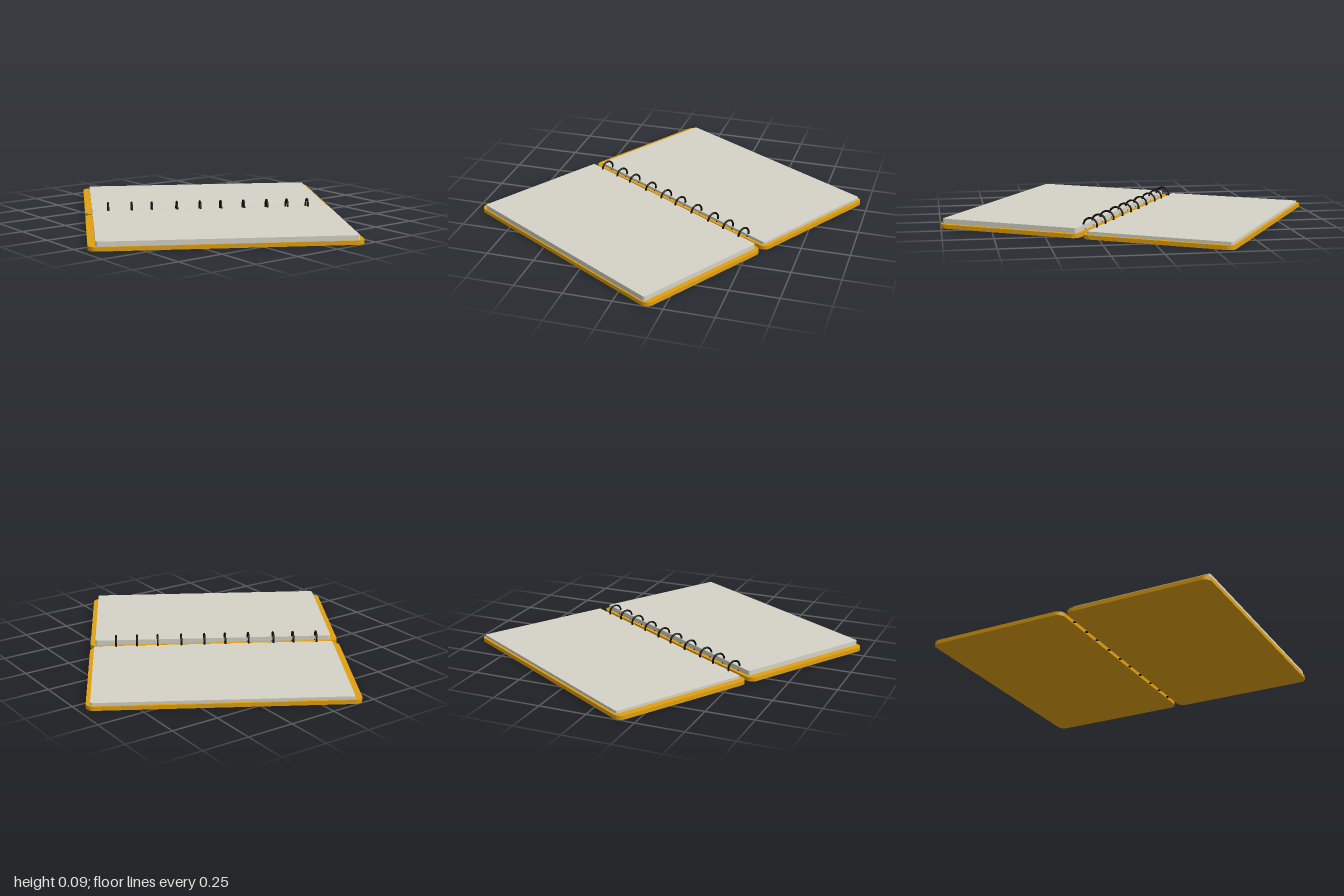
import * as THREE from 'three';

// Flat slab with rounded corners, spanning x0..x1, z0..z1 and y0..y1
function slab(name, material, x0, x1, z0, z1, y0, y1, r) {
  const s = new THREE.Shape();
  s.moveTo(x0 + r, z0);
  s.absarc(x1 - r, z0 + r, r, -Math.PI / 2, 0);
  s.absarc(x1 - r, z1 - r, r, 0, Math.PI / 2);
  s.absarc(x0 + r, z1 - r, r, Math.PI / 2, Math.PI);
  s.absarc(x0 + r, z0 + r, r, Math.PI, Math.PI * 1.5);
  const geometry = new THREE.ExtrudeGeometry(s, { depth: y1 - y0, bevelEnabled: false, curveSegments: 6 });
  geometry.rotateX(Math.PI / 2).translate(0, y1, 0);
  const mesh = new THREE.Mesh(geometry, material);
  mesh.name = name;
  return mesh;
}

export function createModel() {
  const model = new THREE.Group();
  model.name = 'openNotebook';

  const gold = new THREE.MeshStandardMaterial({ color: 0xe0a010 });
  const paper = new THREE.MeshStandardMaterial({ color: 0xd6d3c6 });
  const black = new THREE.MeshStandardMaterial({ color: 0x0a0a0a });

  // The notebook lies turned on the table; its spine runs along local x
  const book = new THREE.Group();
  book.name = 'notebook';
  book.rotation.y = THREE.MathUtils.degToRad(-30.7);
  model.add(book);

  // Covers on either side of the spine
  book.add(slab('frontCover', gold, -0.667, 0.667, 0.01, 0.783, 0, 0.021, 0.04));
  book.add(slab('backCover', gold, -0.667, 0.667, -0.783, -0.01, 0, 0.021, 0.04));

  // Page stacks, the front one thicker
  book.add(slab('frontPages', paper, -0.63, 0.64, 0.028, 0.775, 0.021, 0.046, 0.012));
  book.add(slab('backPages', paper, -0.63, 0.645, -0.77, -0.028, 0.021, 0.035, 0.012));

  // Binding rings, slightly unevenly spaced along the spine
  const ringGeometry = new THREE.TorusGeometry(0.037, 0.005, 8, 28).rotateY(Math.PI / 2);
  const rings = new THREE.Group();
  rings.name = 'bindingRings';
  for (const x of [-0.545, -0.42, -0.313, -0.179, -0.054, 0.057, 0.181, 0.307, 0.417, 0.528]) {
    const ring = new THREE.Mesh(ringGeometry, black);
    ring.name = 'ring';
    ring.position.set(x, 0.043, 0);
    rings.add(ring);
  }
  book.add(rings);

  return model;
}
